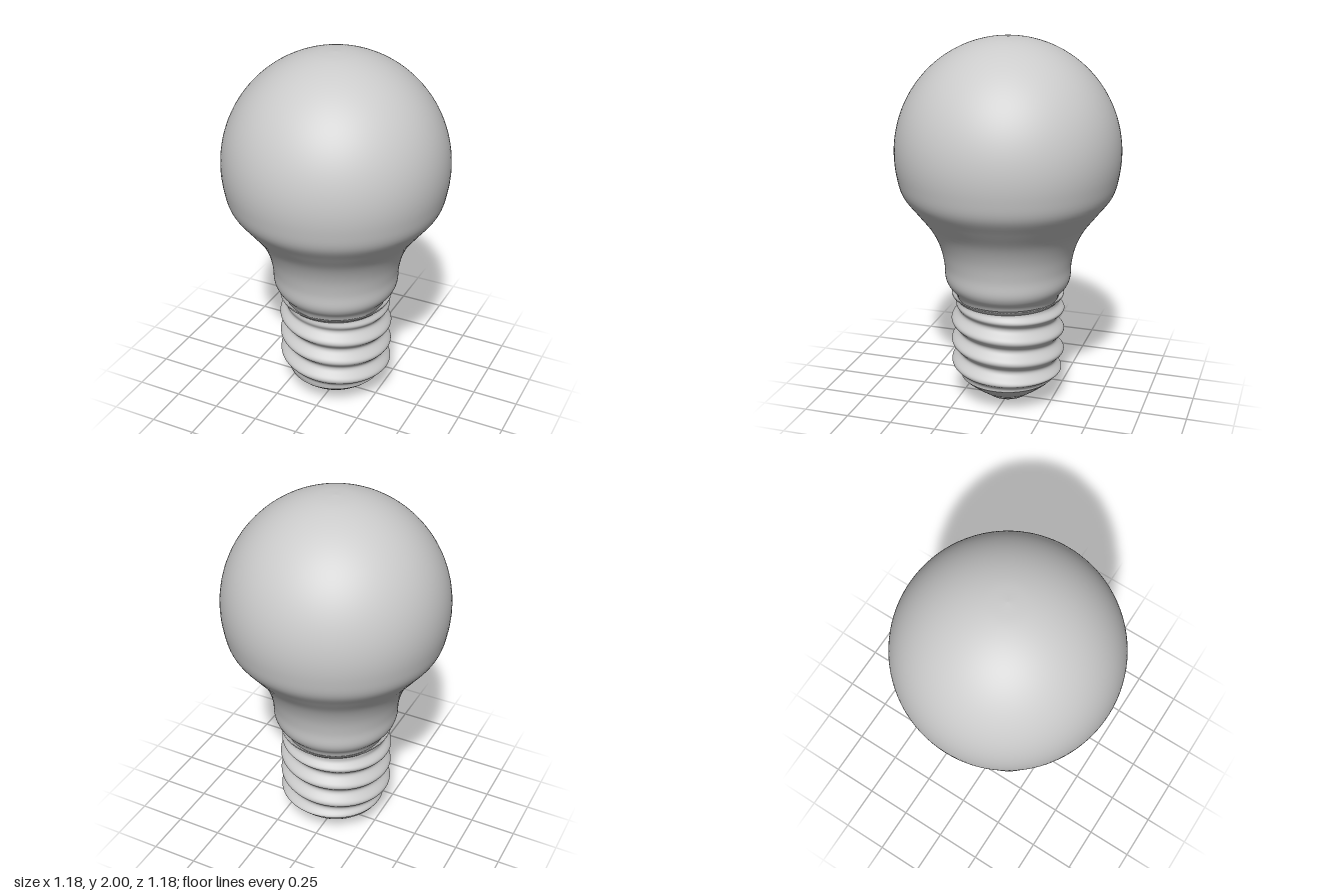
import * as THREE from 'three';
import { mergeVertices } from 'three/addons/utils/BufferGeometryUtils.js';

const material = new THREE.MeshStandardMaterial({ color: 0xcccccc });
const doubleSided = new THREE.MeshStandardMaterial({ color: 0xcccccc, side: THREE.DoubleSide });
const toPoints = (list) => list.map(([r, y]) => new THREE.Vector2(r, y));

// Turned part from a profile running upwards
function turned(name, points, mat = material) {
  const mesh = new THREE.Mesh(new THREE.LatheGeometry(points, 96), mat);
  mesh.name = name;
  return mesh;
}

// Round globe blending into a narrow neck
function createGlass() {
  const neck = toPoints([
    [0.265, 0.57], [0.272, 0.6], [0.288, 0.635], [0.32, 0.675], [0.337, 0.72],
    [0.342, 0.8], [0.365, 0.9], [0.412, 1.0], [0.487, 1.1],
  ]);
  const globe = [];
  for (let deg = -20; deg <= 90; deg += 10) {
    const a = THREE.MathUtils.degToRad(deg);
    globe.push(new THREE.Vector2(Math.max(0, 0.592 * Math.cos(a)), 1.4 + 0.6 * Math.sin(a)));
  }
  const points = new THREE.SplineCurve([...neck, ...globe]).getPoints(100);
  points[points.length - 1].x = 0;
  return turned('glassBulb', points);
}

// Screw thread: a tube whose radius follows a helix and fades at both ends
function createThread() {
  const bottom = 0.14, top = 0.6, pitch = 0.122, ridgeY = 0.51, rows = 90;
  const points = [];
  for (let i = 0; i <= rows; i++) {
    points.push(new THREE.Vector2(1, bottom + ((top - bottom) * i) / rows));
  }
  let geometry = new THREE.LatheGeometry(points, 96);
  const pos = geometry.attributes.position;
  for (let i = 0; i < pos.count; i++) {
    const x = pos.getX(i), y = pos.getY(i), z = pos.getZ(i);
    const turn = Math.atan2(z, -x) / (2 * Math.PI);
    const wave = Math.cos(2 * Math.PI * ((y - ridgeY) / pitch + turn));
    const low = THREE.MathUtils.smoothstep(y, 0.14, 0.2);
    const high = 1 - THREE.MathUtils.smoothstep(y, 0.53, 0.59);
    const base = THREE.MathUtils.lerp(0.258, 0.288, low) - 0.01 * (1 - high);
    const r = base + 0.02 * wave * low * high;
    pos.setXYZ(i, x * r, y, z * r);
  }
  geometry.deleteAttribute('uv');
  geometry.deleteAttribute('normal');
  geometry = mergeVertices(geometry);
  geometry.computeVertexNormals();
  const mesh = new THREE.Mesh(geometry, doubleSided);
  mesh.name = 'screwThread';
  return mesh;
}

export function createModel() {
  const group = new THREE.Group();
  group.name = 'lightBulb';
  group.add(createGlass(), createThread());

  // Flared collar around the bottom of the glass
  group.add(turned('collar', toPoints([
    [0.278, 0.592], [0.288, 0.603], [0.302, 0.615], [0.305, 0.622], [0.298, 0.622], [0.27, 0.6],
  ]), doubleSided));

  // Insulating cone below the thread
  group.add(turned('insulator', toPoints([
    [0.125, 0.038], [0.165, 0.063], [0.205, 0.093], [0.24, 0.122], [0.258, 0.142],
  ]), doubleSided));

  // Rounded contact at the very bottom
  group.add(turned('contact', toPoints([
    [0, 0], [0.05, 0.002], [0.08, 0.008], [0.105, 0.02], [0.13, 0.038], [0.12, 0.041],
  ]), doubleSided));

  return group;
}
